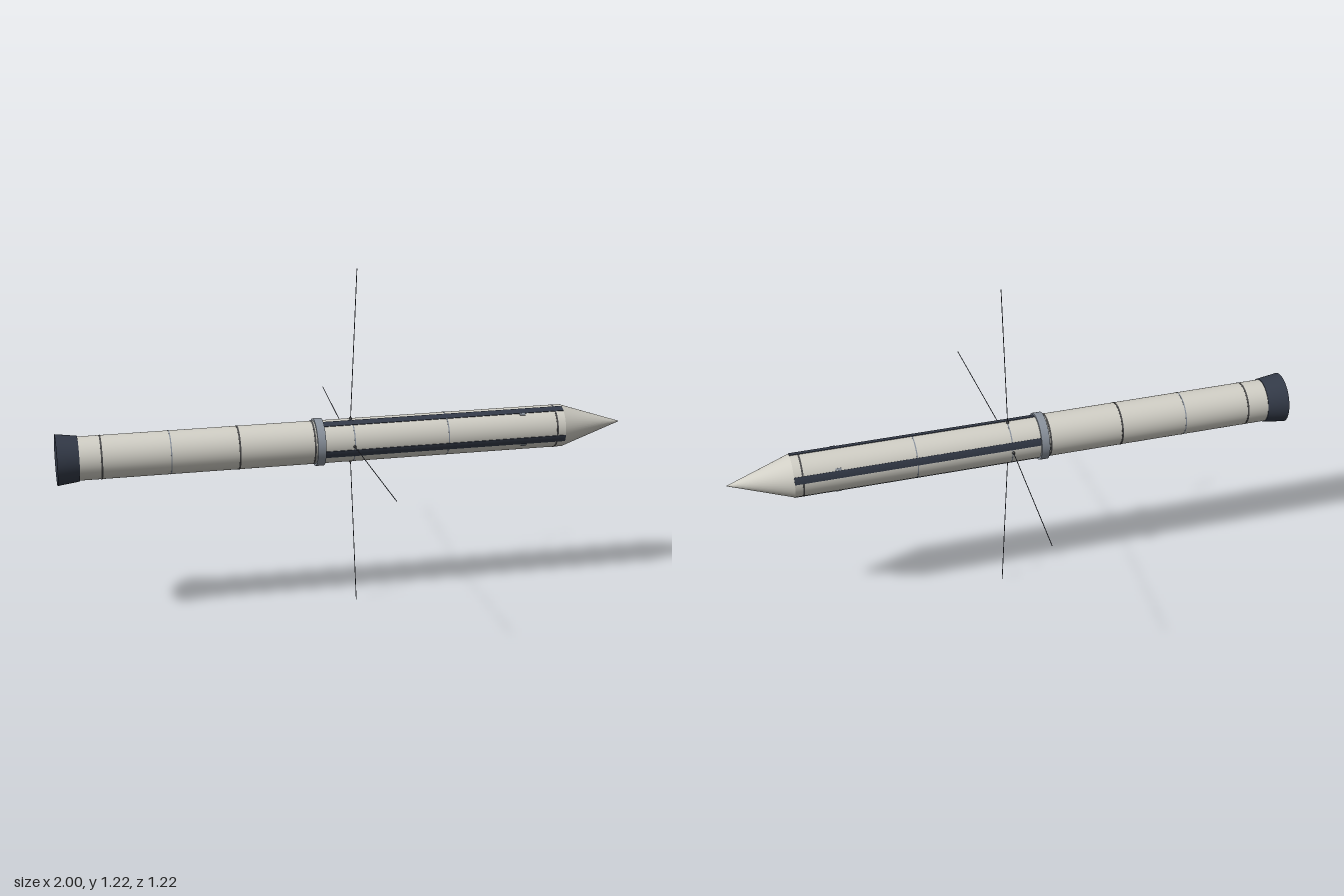
import * as THREE from 'three';

const AXIS_Y = 0.612;
const R = 0.075;

function material(name, color, side = THREE.FrontSide) {
  const m = new THREE.MeshStandardMaterial({ color, side });
  m.name = name;
  return m;
}

export function createModel() {
  const shell = material('warm white shell', 0xd3d1c8);
  const dark = material('dark slate', 0x343b49);
  const steel = material('steel grey', 0x8c949f);
  const seam = material('seam grey', 0x4b4b4c);
  const wire = material('boom wire', 0x4a4f5a);

  const model = new THREE.Group();
  model.name = 'soundingRocket';
  const rocket = new THREE.Group();
  rocket.name = 'rocket';
  rocket.position.y = AXIS_Y;
  model.add(rocket);

  function add(name, geometry, mat, parent = rocket) {
    const mesh = new THREE.Mesh(geometry, mat);
    mesh.name = name;
    parent.add(mesh);
    return mesh;
  }

  // Round section lying along x, from x0 (radius r0) to x1 (radius r1)
  function section(name, x0, x1, r0, r1, mat) {
    const g = new THREE.CylinderGeometry(r1, r0, x1 - x0, 48);
    g.rotateZ(-Math.PI / 2).translate((x0 + x1) / 2, 0, 0);
    return add(name, g, mat);
  }

  // Main stack
  section('tailFlare', -1, -0.925, 0.088, 0.078, dark);
  section('body', -0.925, 0.78, R, R, shell);
  section('noseCone', 0.78, 1, R, 0.001, shell);
  section('collar', -0.112, -0.083, 0.083, 0.083, steel);

  // Joint rings
  for (const x of [-0.85, -0.38, -0.119, 0.75]) section('jointRing', x - 0.003, x + 0.003, R + 0.0008, R + 0.0008, seam);
  for (const x of [-0.615, 0.02, 0.355]) section('thinJointRing', x - 0.002, x + 0.002, R + 0.0006, R + 0.0006, steel);

  // Each quarter carries a cable strip, a port and a wire boom
  for (let i = 0; i < 4; i++) {
    const quarter = new THREE.Group();
    quarter.name = 'quarter' + (i + 1);
    quarter.rotation.x = i * Math.PI / 2;
    rocket.add(quarter);

    // Curved cable strip with closed ends, hugging the shell
    const half = 0.175;
    const strip = new THREE.Shape();
    strip.absarc(0, 0, R + 0.002, 0.33 - half, 0.33 + half, false);
    strip.absarc(0, 0, R - 0.002, 0.33 + half, 0.33 - half, true);
    const sg = new THREE.ExtrudeGeometry(strip, { depth: 0.863, bevelEnabled: false, curveSegments: 6 });
    // shape x -> z, shape y -> -y, extrusion -> x
    sg.applyMatrix4(new THREE.Matrix4().makeBasis(
      new THREE.Vector3(0, 0, 1), new THREE.Vector3(0, -1, 0), new THREE.Vector3(1, 0, 0)
    )).translate(-0.083, 0, 0);
    add('cableStrip', sg, dark, quarter);

    const port = add('port', new THREE.BoxGeometry(0.02, 0.008, 0.006), steel, quarter);
    const a = 0.57;
    port.position.set(0.628, -R * Math.sin(a), R * Math.cos(a));
    port.rotation.x = a;

    // Boom root and slender, slightly swept wire
    const root = new THREE.CylinderGeometry(0.004, 0.006, 0.012, 12);
    root.rotateX(Math.PI / 2).translate(0.018, 0, 0.077);
    add('boomRoot', root, seam, quarter);
    const path = new THREE.LineCurve3(new THREE.Vector3(0.018, 0, 0.07), new THREE.Vector3(0.04, 0, 0.612));
    add('boom', new THREE.TubeGeometry(path, 1, 0.0014, 6, false), wire, quarter);
  }
  return model;
}
